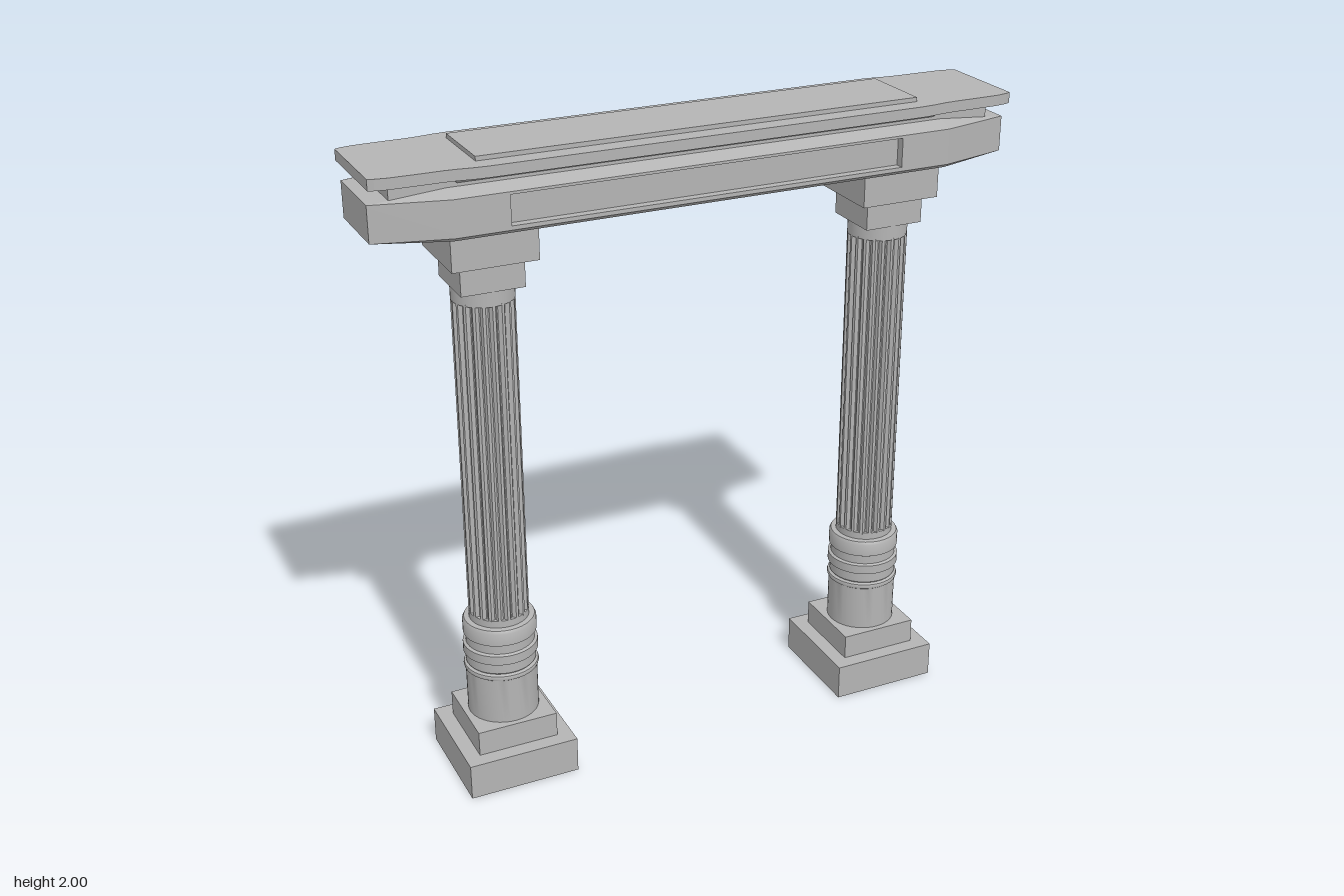
import * as THREE from 'three';
import { ConvexGeometry } from 'three/addons/geometries/ConvexGeometry.js';
import { toCreasedNormals } from 'three/addons/utils/BufferGeometryUtils.js';

const stone = new THREE.MeshStandardMaterial({ color: 0xb4b4b4 });
stone.name = 'stone grey';

function add(parent, name, geometry, x = 0, y = 0, z = 0) {
  const mesh = new THREE.Mesh(geometry, stone);
  mesh.name = name;
  mesh.position.set(x, y, z);
  parent.add(mesh);
  return mesh;
}

// Box given by its full width, depth, bottom and top
function block(parent, name, w, d, y0, y1) {
  return add(parent, name, new THREE.BoxGeometry(w, y1 - y0, d), 0, (y0 + y1) / 2, 0);
}

// Upright prism over a plan drawn in x and z
function prism(points, y0, y1) {
  const shape = new THREE.Shape(points.map(([x, z]) => new THREE.Vector2(x, z)));
  const geo = new THREE.ExtrudeGeometry(shape, { depth: y1 - y0, bevelEnabled: false });
  geo.rotateX(-Math.PI / 2);
  geo.translate(0, y0, 0);
  return geo;
}

// Repeats one quarter of a plan (running from the end to the middle) on all sides
function fourWay(q) {
  const back = [...q].reverse();
  return [
    ...q,
    ...back.map(([x, z]) => [-x, z]),
    ...q.map(([x, z]) => [-x, -z]),
    ...back.map(([x, z]) => [x, -z]),
  ];
}

// Convex layer from quarter rings of [x, y, z]
function convexLayer(points) {
  const all = [];
  for (const [x, y, z] of points)
    for (const sx of [1, -1]) for (const sz of [1, -1]) all.push(new THREE.Vector3(x * sx, y, z * sz));
  return new ConvexGeometry(all);
}

function flutedShaft() {
  const flutes = 20, r = 0.092, depth = 0.011, steps = 5, pts = [];
  for (let i = 0; i < flutes; i++) {
    for (let k = 0; k <= steps; k++) {
      const t = k / steps;
      const a = ((i + 0.15 + 0.7 * t) / flutes) * Math.PI * 2;
      const rr = r - depth * Math.sin(Math.PI * t);
      pts.push([Math.cos(a) * rr, Math.sin(a) * rr]);
    }
  }
  return toCreasedNormals(prism(pts, 0.54, 1.56), 0.7);
}

function column(x) {
  const g = new THREE.Group();
  g.name = x > 0 ? 'leftColumn' : 'rightColumn';
  g.position.x = x;
  block(g, 'plinth', 0.35, 0.35, 0, 0.115);
  block(g, 'plinthStep', 0.255, 0.255, 0.115, 0.195);
  // Drum with ring mouldings
  const profile = [
    [0, 0.195], [0.11, 0.195], [0.11, 0.345], [0.114, 0.348], [0.116, 0.355], [0.114, 0.362],
    [0.105, 0.366], [0.108, 0.37], [0.108, 0.4], [0.115, 0.404], [0.115, 0.434],
    [0.106, 0.438], [0.106, 0.466], [0.113, 0.47], [0.113, 0.51], [0.108, 0.52], [0.092, 0.522], [0, 0.522],
  ].map(([r, y]) => new THREE.Vector2(r, y));
  add(g, 'baseMouldings', toCreasedNormals(new THREE.LatheGeometry(profile, 40), 0.6));
  add(g, 'shaftFoot', new THREE.CylinderGeometry(0.092, 0.092, 0.025, 40), 0, 0.5325);
  add(g, 'flutedShaft', flutedShaft());
  add(g, 'shaftNeck', new THREE.CylinderGeometry(0.092, 0.092, 0.05, 40), 0, 1.58);
  block(g, 'capitalNeck', 0.19, 0.19, 1.6, 1.685);
  block(g, 'capital', 0.255, 0.255, 1.685, 1.79);
  return g;
}

function lintel() {
  const g = new THREE.Group();
  g.name = 'lintel';
  // Lower beam: underside, recessed band, sloped upper ledge
  add(g, 'beamUnderside', convexLayer([
    [0.99, 1.8, 0.12], [0.77, 1.786, 0.155], [0.77, 1.8, 0.175],
    [0.99, 1.812, 0.12], [0.77, 1.812, 0.175],
  ]));
  add(g, 'recessedBand', prism(fourWay([
    [0.99, 0.12], [0.77, 0.175], [0.61, 0.175], [0.61, 0.148],
  ]), 1.812, 1.9));
  add(g, 'beamLedge', convexLayer([
    [0.99, 1.9, 0.12], [0.77, 1.9, 0.175], [0.99, 1.907, 0.12],
    [0.77, 1.908, 0.175], [0.77, 1.925, 0.12],
  ]));
  // Neck and flared moulding below the cap
  block(g, 'beamNeck', 1.86, 0.24, 1.9, 1.96);
  add(g, 'flaredMoulding', convexLayer([
    [0.74, 1.935, 0.122], [0.76, 1.957, 0.155],
  ]));
  // Cap slab, pinched near both ends
  add(g, 'capSlab', prism(fourWay([
    [0.992, 0.15], [0.975, 0.157], [0.94, 0.163], [0.85, 0.165], [0.79, 0.165],
    [0.75, 0.168], [0.71, 0.174], [0.67, 0.177],
  ]), 1.955, 1.987));
  block(g, 'topPanel', 1.37, 0.24, 1.987, 2.0);
  return g;
}

export function createModel() {
  const model = new THREE.Group();
  model.name = 'columnGateway';
  for (const side of [1, -1]) model.add(column(side * 0.643));
  model.add(lintel());
  return model;
}
